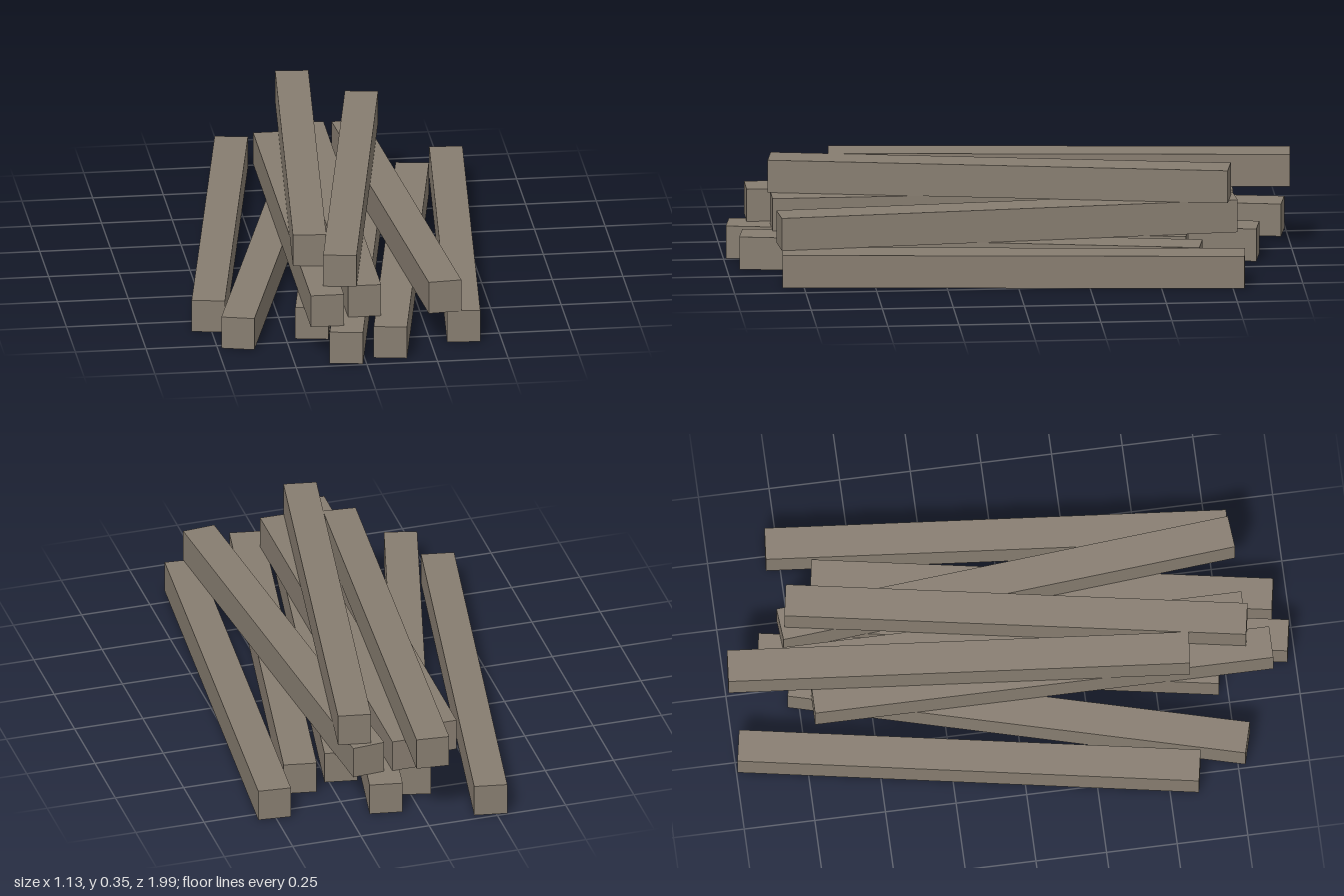
import * as THREE from 'three';

const SIZE = 0.117; // beam width, height and layer spacing
const LENGTH = 1.622;

// Box with its underside left open
function openBeamGeometry() {
  const geometry = new THREE.BoxGeometry(SIZE, SIZE, LENGTH);
  const index = Array.from(geometry.index.array);
  index.splice(18, 6); // remove the two bottom triangles
  geometry.setIndex(index);
  geometry.clearGroups();
  return geometry;
}

export function createModel() {
  const model = new THREE.Group();
  model.name = 'beamPile';
  const wood = new THREE.MeshStandardMaterial({ color: 0x877d70, side: THREE.DoubleSide });
  wood.name = 'weatheredWood';
  const geometry = openBeamGeometry();

  // Each beam: front end x, z and back end x, z
  const layers = [
    { name: 'bottomBeam', beams: [
      [-0.512, 0.61, -0.23, -0.985],
      [-0.43, 0.79, -0.013, -0.775],
      [-0.16, 0.725, 0.119, -0.87],
      [-0.07, 0.98, 0.208, -0.615],
      [0.09, 0.945, 0.368, -0.65],
      [0.365, 0.82, 0.505, -0.795],
    ] },
    { name: 'middleBeam', beams: [
      [-0.129, 0.915, -0.129, -0.71],
      [0.013, 0.835, 0.013, -0.79],
      [0.298, 0.827, 0.158, -0.787],
    ] },
    { name: 'topBeam', beams: [
      [-0.155, 0.62, -0.015, -0.995],
      [-0.075, 0.835, 0.203, -0.765],
    ] },
  ];

  layers.forEach(({ name, beams }, level) => {
    beams.forEach(([x1, z1, x2, z2], i) => {
      const beam = new THREE.Mesh(geometry, wood);
      beam.name = name + (i + 1);
      beam.position.set((x1 + x2) / 2, SIZE * (level + 0.5), (z1 + z2) / 2);
      beam.rotation.y = Math.atan2(x1 - x2, z1 - z2);
      model.add(beam);
    });
  });
  return model;
}
